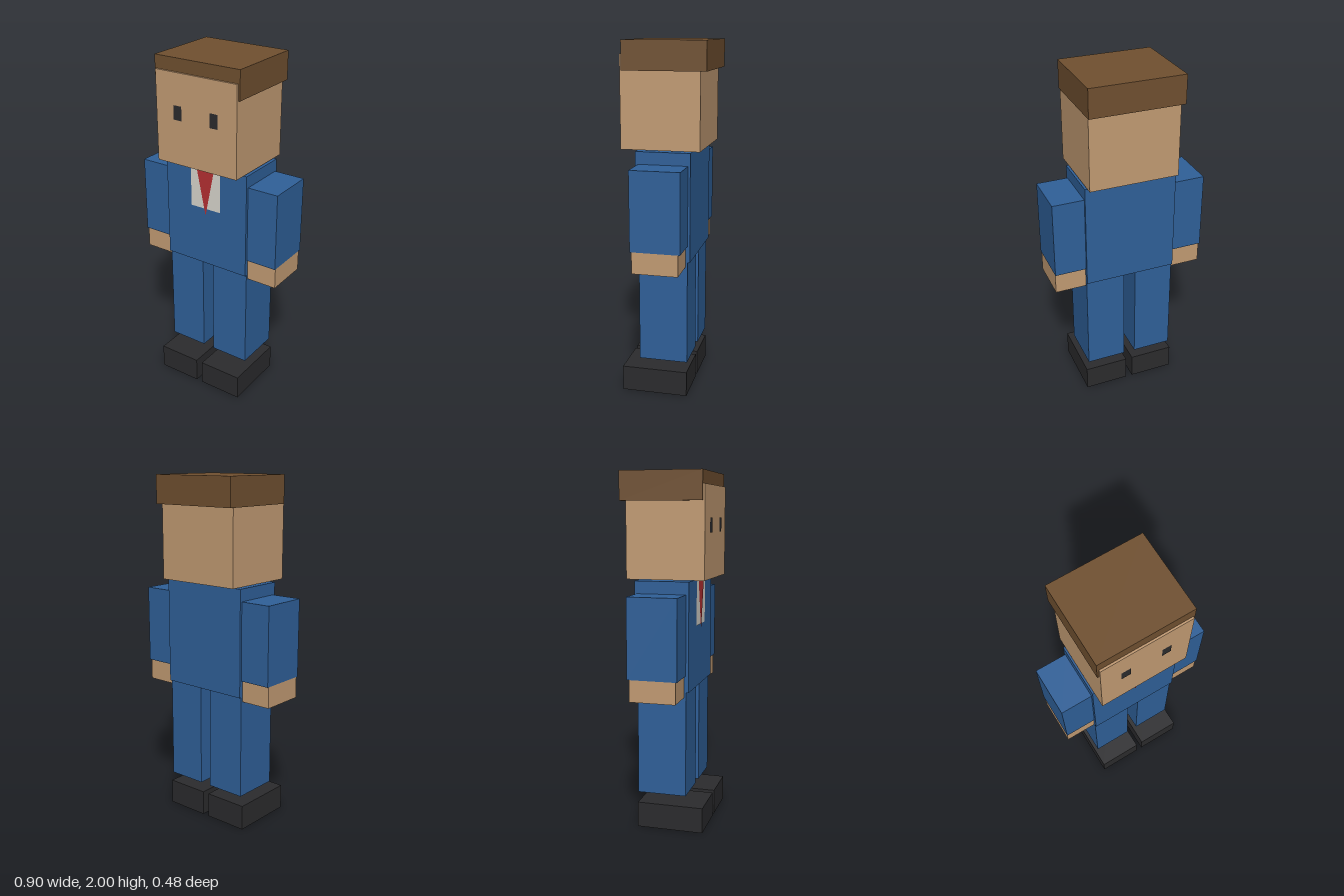
import * as THREE from 'three';

const paint = (color, side = THREE.FrontSide) =>
  new THREE.MeshStandardMaterial({ color, side });

export function createModel() {
  const model = new THREE.Group();
  model.name = 'blockMan';

  const suit = paint(0x2f6099);
  const skin = paint(0xc29b73);
  const hairBrown = paint(0x705030);
  const black = paint(0x2b2b2d);
  const white = paint(0xd8d5cc, THREE.DoubleSide);
  const red = paint(0xb53032, THREE.DoubleSide);
  const eyeBlack = paint(0x2b2b2d, THREE.DoubleSide);

  // Box given by its [min, max] along each axis
  const box = (name, material, [x0, x1], [y0, y1], [z0, z1]) => {
    const mesh = new THREE.Mesh(new THREE.BoxGeometry(x1 - x0, y1 - y0, z1 - z0), material);
    mesh.position.set((x0 + x1) / 2, (y0 + y1) / 2, (z0 + z1) / 2);
    mesh.name = name;
    model.add(mesh);
  };

  // Flat patch facing the front, from outline corners
  const patch = (name, material, corners, z) => {
    const shape = new THREE.Shape(corners.map(([x, y]) => new THREE.Vector2(x, y)));
    const mesh = new THREE.Mesh(new THREE.ShapeGeometry(shape), material);
    mesh.position.z = z;
    mesh.name = name;
    model.add(mesh);
  };

  // Head and body
  box('hair', hairBrown, [-0.267, 0.267], [1.84, 2], [-0.244, 0.22]);
  box('head', skin, [-0.257, 0.257], [1.417, 1.927], [-0.21, 0.231]);
  box('torso', suit, [-0.267, 0.267], [0.8, 1.41], [-0.16, 0.147]);

  // Shirt front and pointed tie
  patch('shirt', white, [[-0.098, 1.15], [0.098, 1.15], [0.098, 1.4], [-0.098, 1.4]], 0.149);
  patch('tie', red, [[0, 1.11], [0.06, 1.4], [-0.06, 1.4]], 0.151);

  // Mirrored limbs and eyes
  for (const [label, s] of [['left', 1], ['right', -1]]) {
    const span = (a, b) => (s > 0 ? [a, b] : [-b, -a]);
    box(label + 'Arm', suit, span(0.267, 0.449), [0.895, 1.34], [-0.147, 0.131]);
    box(label + 'Hand', skin, span(0.267, 0.447), [0.773, 0.895], [-0.135, 0.122]);
    box(label + 'Leg', suit, span(0.035, 0.266), [0.203, 0.8], [-0.146, 0.132]);
    box(label + 'Shoe', black, span(0.02, 0.28), [0, 0.145], [-0.146, 0.232]);
    const [x0, x1] = span(0.09, 0.142);
    patch(label + 'Eye', eyeBlack, [[x0, 1.67], [x1, 1.67], [x1, 1.75], [x0, 1.75]], 0.233);
  }

  return model;
}
